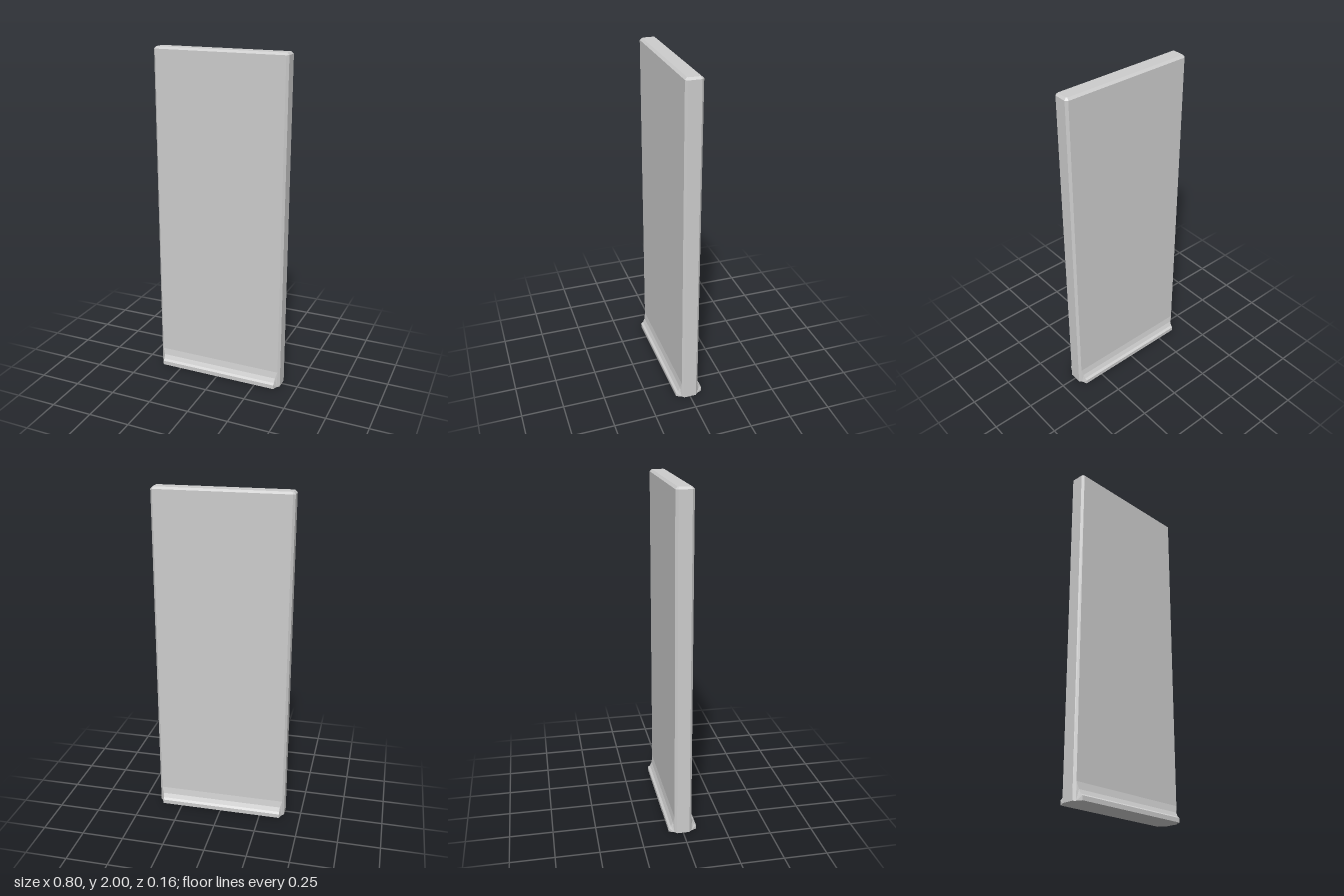
import * as THREE from 'three';

// Closed solid through matching rings of [x, y, z] points, wound around the loft direction
function loft(rings) {
  const pos = [];
  const tri = (a, b, c) => pos.push(...a, ...b, ...c);
  const n = rings[0].length;
  for (let r = 0; r < rings.length - 1; r++) {
    const a = rings[r], b = rings[r + 1];
    for (let i = 0; i < n; i++) {
      const j = (i + 1) % n;
      tri(a[i], a[j], b[j]);
      tri(a[i], b[j], b[i]);
    }
  }
  const first = rings[0], last = rings[rings.length - 1];
  for (let i = 1; i < n - 1; i++) {
    tri(first[0], first[i + 1], first[i]);
    tri(last[0], last[i], last[i + 1]);
  }
  const geo = new THREE.BufferGeometry();
  geo.setAttribute('position', new THREE.Float32BufferAttribute(pos, 3));
  geo.computeVertexNormals();
  return geo;
}

// Horizontal rectangle with cut corners
function cutRect(y, w, d, c) {
  return [
    [-w + c, y, d], [w - c, y, d], [w, y, d - c], [w, y, -d + c],
    [w - c, y, -d], [-w + c, y, -d], [-w, y, -d + c], [-w, y, d - c],
  ];
}

export function createModel() {
  const group = new THREE.Group();
  const wallGrey = new THREE.MeshStandardMaterial({ color: 0xcccccc });
  wallGrey.name = 'wallGrey';

  // Upright panel with bevelled vertical and top edges
  const panel = new THREE.Mesh(loft([
    cutRect(0, 0.4, 0.05, 0.013),
    cutRect(1.988, 0.4, 0.05, 0.013),
    cutRect(2, 0.388, 0.037, 0.006),
  ]), wallGrey);
  panel.name = 'wallPanel';
  group.add(panel);

  // Coved skirting: [half width, y, z], ends splayed back to the panel edge
  const profile = [
    [0.387, 0, 0.05], [0.387, 0.1, 0.05], [0.375, 0.06, 0.057],
    [0.373, 0.035, 0.069], [0.373, 0.025, 0.082], [0.373, 0, 0.082],
  ];
  const skirtGeo = loft([-1, 1].map((s) => profile.map(([w, y, z]) => [s * w, y, z])));
  for (const [name, turn] of [['frontSkirting', 0], ['backSkirting', Math.PI]]) {
    const skirt = new THREE.Mesh(skirtGeo, wallGrey);
    skirt.name = name;
    skirt.rotation.y = turn;
    group.add(skirt);
  }
  return group;
}
